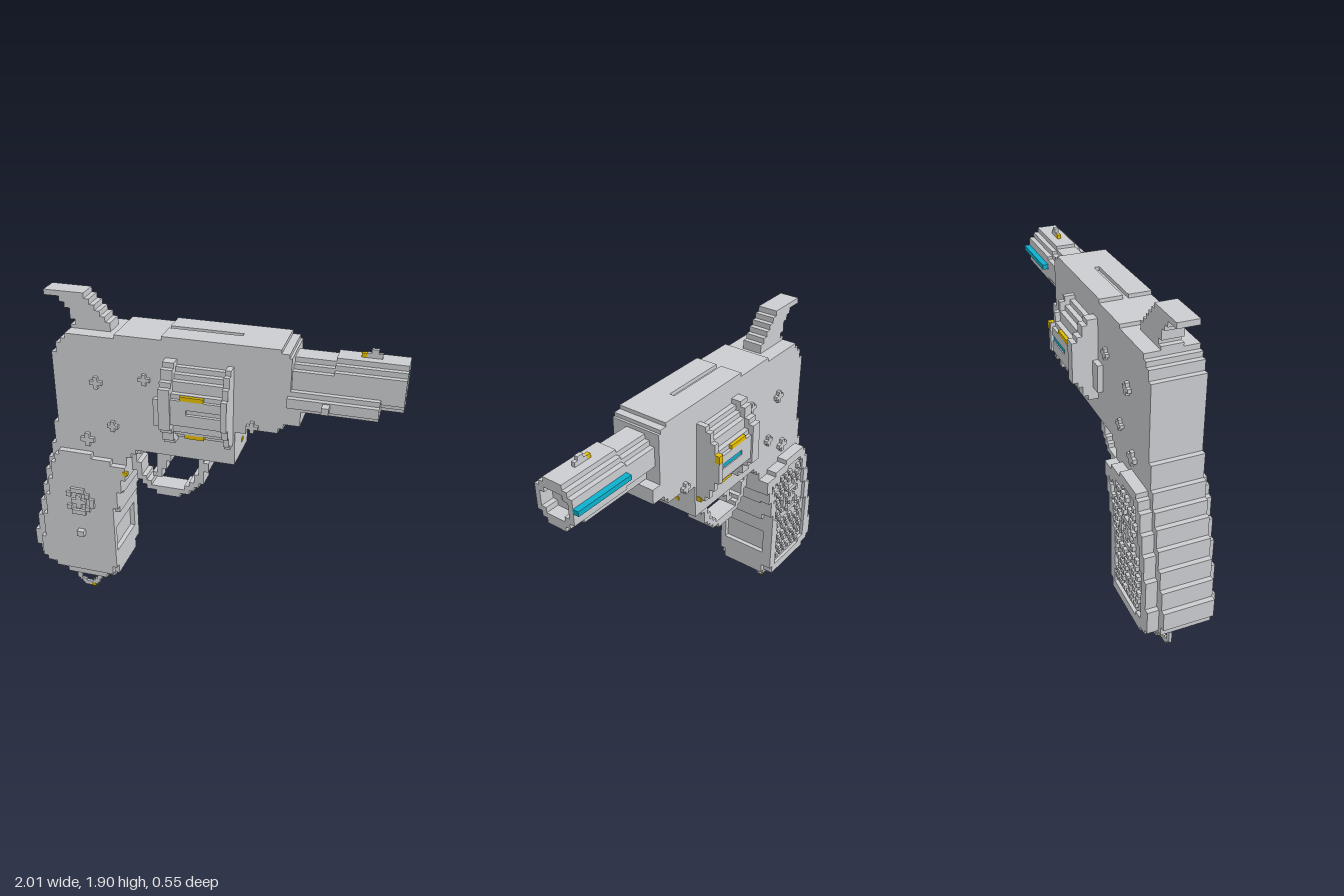
import * as THREE from 'three';
import { mergeGeometries } from 'three/addons/utils/BufferGeometryUtils.js';

const STEP = 0.0272;
const mat = (name, color) => Object.assign(new THREE.MeshStandardMaterial({ color }), { name });

// Box from its min and max corners
function block(x0, x1, y0, y1, z0, z1) {
  return new THREE.BoxGeometry(x1 - x0, y1 - y0, z1 - z0)
    .translate((x0 + x1) / 2, (y0 + y1) / 2, (z0 + z1) / 2);
}

const circle = (cx, cy, r, n = 32) => Array.from({ length: n }, (_, i) => {
  const a = ((i + 0.5) / n) * Math.PI * 2;
  return [cx + r * Math.cos(a), cy + r * Math.sin(a)];
});

// Fills outlines with stepped rows; an inner loop cuts a hole.
// Outlines lie in x,y with depth along z, or in z,y with depth along x.
function stepped(loops, d0, d1, axis = 'z', step = STEP) {
  const ys = loops.flat().map(p => p[1]);
  const lo = Math.min(...ys), hi = Math.max(...ys);
  const n = Math.max(1, Math.round((hi - lo) / step)), h = (hi - lo) / n;
  const rows = [];
  for (let i = 0; i < n; i++) {
    const y = lo + (i + 0.5) * h, cuts = [];
    for (const loop of loops) {
      loop.forEach(([x0, y0], k) => {
        const [x1, y1] = loop[(k + 1) % loop.length];
        if ((y0 > y) !== (y1 > y)) cuts.push(x0 + ((y - y0) / (y1 - y0)) * (x1 - x0));
      });
    }
    const spans = cuts.sort((a, b) => a - b).map(u => Math.round(u / step) * step);
    const last = rows[rows.length - 1];
    if (last && last.spans.join() === spans.join()) last.top = lo + (i + 1) * h;
    else rows.push({ spans, bottom: lo + i * h, top: lo + (i + 1) * h });
  }
  const parts = [];
  for (const { spans, bottom, top } of rows) {
    for (let k = 0; k + 1 < spans.length; k += 2) {
      const a = spans[k], b = spans[k + 1];
      if (b - a < 1e-4) continue;
      parts.push(axis === 'z' ? block(a, b, bottom, top, d0, d1) : block(d0, d1, bottom, top, a, b));
    }
  }
  return mergeGeometries(parts);
}

// Small plus-shaped screw head
const plus = (x, y, r, z0, z1) => [
  block(x - r, x + r, y - r / 3, y + r / 3, z0, z1),
  block(x - r / 3, x + r / 3, y - r, y + r, z0, z1),
];

export function createModel() {
  const grey = mat('metalGrey', 0xcccdd0);
  const gold = mat('gold', 0xe4be00);
  const cyan = mat('cyan', 0x0cb0cc);
  const model = new THREE.Group();
  model.name = 'toyBlockRevolver';
  const add = (name, geo, material = grey) => {
    const mesh = new THREE.Mesh(Array.isArray(geo) ? mergeGeometries(geo) : geo, material);
    mesh.name = name;
    model.add(mesh);
  };

  // Frame and grip core
  const W = 0.136;
  add('frame', stepped([[
    [-0.7, 1.71], [0.45, 1.71], [0.45, 1.44], [0.52, 1.44], [0.52, 1.37], [0.45, 1.35], [0.4, 1.31],
    [0.27, 1.3], [0.19, 1.27], [0.19, 1.1], [-0.33, 1.1], [-0.38, 1.06], [-0.41, 1], [-0.42, 0.9],
    [-0.83, 0.9], [-0.83, 1.05], [-0.8, 1.2], [-0.79, 1.5], [-0.77, 1.63], [-0.73, 1.68],
  ]], -W, W));
  add('gripCore', stepped([[
    [-0.83, 1.05], [-0.42, 0.95], [-0.45, 0.8], [-0.48, 0.65], [-0.5, 0.56], [-0.52, 0.56], [-0.52, 0.41],
    [-0.5, 0.41], [-0.5, 0.25], [-0.54, 0.22], [-0.6, 0.19], [-0.77, 0.19], [-0.9, 0.24], [-0.96, 0.29],
    [-1, 0.37], [-1, 0.43], [-0.97, 0.55], [-0.92, 0.75], [-0.88, 0.9],
  ]], -W, W));

  // Top strap with a sighting slot
  add('topStrap', [
    block(-0.44, 0.45, 1.71, 1.73, -W, W),
    block(-0.19, 0.41, 1.73, 1.75, -W, -0.014),
    block(-0.19, 0.41, 1.73, 1.75, 0.014, W),
    block(0.19, 0.41, 1.73, 1.75, -0.014, 0.014),
  ]);

  // Hammer
  add('hammer', stepped([[
    [-0.85, 1.9], [-0.63, 1.9], [-0.62, 1.87], [-0.57, 1.84], [-0.52, 1.78], [-0.48, 1.7],
    [-0.7, 1.7], [-0.69, 1.76], [-0.73, 1.83], [-0.77, 1.86], [-0.85, 1.86],
  ]], -0.055, 0.055));

  // Grip side panels
  const panel = [
    [-0.79, 1.04], [-0.61, 1.04], [-0.58, 1.01], [-0.41, 0.99], [-0.41, 0.93], [-0.46, 0.8], [-0.49, 0.62],
    [-0.5, 0.3], [-0.52, 0.25], [-0.82, 0.25], [-0.9, 0.27], [-0.94, 0.31], [-0.94, 0.44], [-0.9, 0.68],
    [-0.84, 0.92],
  ];
  add('leftGripPanel', stepped([panel], W, 0.17));
  add('rightGripPanel', stepped([panel], -0.178, -W));
  const inner = panel.map(([x, y]) => [-0.68 + (x + 0.68) * 0.78, 0.64 + (y - 0.64) * 0.84]);
  add('rightPanelBorder', stepped([panel, inner], -0.197, -0.178));

  // Checkered studs on the right panel
  const studs = [];
  for (let j = 0; j < 13; j++) {
    for (let i = 0; i < 7; i++) {
      const y = 0.36 + j * 0.047, x = -0.84 + (y - 0.36) * 0.15 + i * 0.045 + (j % 2) * 0.015;
      if (Math.hypot(x + 0.69, y - 0.73) < 0.1 || (i * 3 + j * 5) % 7 === 0) continue;
      studs.push(block(x - 0.014, x + 0.014, y - 0.014, y + 0.014, -0.197, -0.178));
    }
  }
  add('gripStuds', studs);

  // Grip medallions and pin
  for (const [side, z0, z1] of [['left', 0.17, 0.186], ['right', -0.197, -0.178]]) {
    add(side + 'Medallion', [
      stepped([circle(-0.69, 0.73, 0.085), circle(-0.69, 0.73, 0.06)], z0, z1),
      ...plus(-0.69, 0.73, 0.042, z0, z1),
    ]);
  }
  add('gripPin', block(-0.71, -0.668, 0.505, 0.54, 0.17, 0.2));

  // Screws on both sides of the frame
  const screws = [];
  for (const [x, y, r] of [[-0.55, 1.46, 0.033], [-0.285, 1.51, 0.03], [-0.47, 1.22, 0.03],
    [-0.62, 1.12, 0.038], [0.28, 1.325, 0.03]]) {
    screws.push(...plus(x, y, r, W, 0.155), ...plus(x, y, r, -0.155, -W));
  }
  add('frameScrews', screws);

  // Drum with rims at both ends, raised side plates and recoil plate
  const CY = 1.42;
  add('drumRearRim', stepped([circle(0, CY, 0.278)], -0.17, -0.11, 'x'));
  add('drum', stepped([circle(0, CY, 0.25)], -0.11, 0.15, 'x'));
  add('drumFrontRim', stepped([circle(0, CY, 0.27)], 0.15, 0.18, 'x'));
  const plates = [];
  for (const s of [1, -1]) {
    const p = (x0, x1, y0, y1, a, b) =>
      plates.push(block(x0, x1, y0, y1, Math.min(s * a, s * b), Math.max(s * a, s * b)));
    p(-0.11, 0.15, 1.43, 1.478, 0.2, 0.262);
    p(-0.11, 0.15, 1.34, 1.402, 0.2, 0.262);
    p(-0.11, -0.03, 1.402, 1.43, 0.2, 0.262);
    p(-0.235, -0.17, 1.27, 1.42, W, 0.165);
  }
  add('drumSidePlates', plates);

  // Gold marks on the drum sides, the front rim and the frame nose
  add('drumGoldMarks', [1, -1].flatMap(s => [
    block(-0.06, 0.06, 1.478, 1.5, s * 0.248 - 0.014, s * 0.248 + 0.014),
    block(-0.06, 0.04, 1.23, 1.252, s * 0.172 - 0.014, s * 0.172 + 0.014),
  ]), gold);
  add('rimGoldMarks', [
    block(0.157, 0.184, 1.46, 1.502, -0.276, -0.248),
    block(0.157, 0.184, 1.19, 1.216, -0.168, -0.14),
    block(0.17, 0.194, 1.15, 1.17, -0.032, -0.004),
  ], gold);
  add('drumCyanMark', block(-0.03, 0.15, 1.402, 1.43, -0.256, -0.247), cyan);

  // Barrel, muzzle sleeve and bore
  const BY = 1.585;
  add('barrel', stepped([circle(0, BY, 0.105)], 0.44, 0.86, 'x'));
  add('muzzleSleeve', stepped([circle(0, BY, 0.122), circle(0, BY, 0.075)], 0.66, 1, 'x'));
  add('boreLiner', stepped([circle(0, BY, 0.08), circle(0, BY, 0.036)], 0.86, 0.93, 'x'));
  add('barrelLug', block(0.45, 0.89, 1.445, 1.5, -0.055, 0.06));
  add('cyanStripe', block(0.66, 1.001, 1.582, 1.608, -0.14, -0.108), cyan);

  // Ejector rod beside the barrel
  add('ejectorRod', [
    stepped([circle(0.115, 1.49, 0.052, 16)], 0.45, 0.89, 'x'),
    block(0.625, 0.66, 1.475, 1.51, 0.15, 0.21),
  ]);

  // Front sight
  add('frontSight', [block(0.795, 0.87, 1.69, 1.73, -0.01, 0.01), block(0.815, 0.85, 1.73, 1.75, -0.01, 0.01)]);
  add('sightBead', block(0.77, 0.795, 1.7, 1.728, -0.01, 0.01), gold);

  // Trigger and guard
  add('triggerGuard', stepped([circle(-0.2, 0.995, 0.215), circle(-0.2, 0.995, 0.172)], -0.055, 0.055));
  add('trigger', stepped([[
    [-0.26, 1.12], [-0.17, 1.12], [-0.18, 1.02], [-0.21, 0.97], [-0.24, 0.9], [-0.25, 0.88],
    [-0.3, 0.88], [-0.27, 0.95], [-0.26, 1.02],
  ]], -0.03, 0.03));
  add('gripStudGold', block(-0.42, -0.393, 0.94, 0.962, 0.152, 0.176), gold);

  // Lanyard ring
  add('lanyardRing', [
    stepped([circle(-0.75, 0.08, 0.08), circle(-0.75, 0.08, 0.05)], -0.008, 0.008, 'z', 0.0145),
    block(-0.765, -0.71, 0.145, 0.168, -0.028, 0.028),
  ]);
  add('lanyardGoldMarks', [
    block(-0.79, -0.765, 0.145, 0.168, -0.028, 0.028),
    block(-0.735, -0.71, 0, 0.018, -0.01, 0.01),
  ], gold);

  return model;
}
